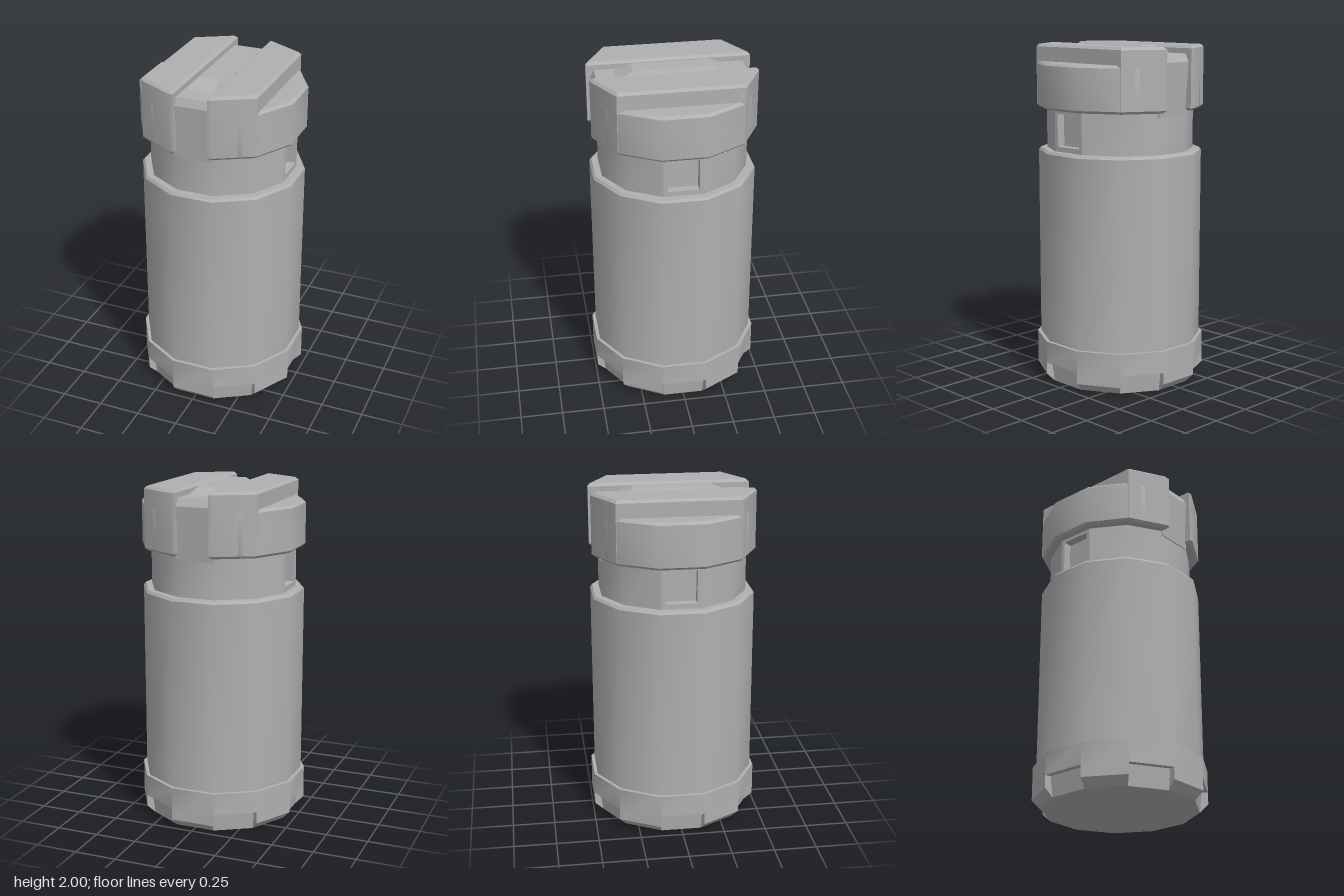
import * as THREE from 'three';
import { toCreasedNormals } from 'three/addons/utils/BufferGeometryUtils.js';

const SIDES = 12, STEP = Math.PI * 2 / SIDES, ZS = 1.02;
const grey = new THREE.MeshStandardMaterial({ color: 0xb0b0b0 });
grey.name = 'grey metal';

// point at angle phi (0 = front), with the slight stretch along z
const polar = (phi, [r, y]) => [r * Math.sin(phi), y, r * Math.cos(phi) * ZS];

function fromTriangles(tris, crease = 0.6) {
  const g = new THREE.BufferGeometry();
  g.setAttribute('position', new THREE.Float32BufferAttribute(tris.flat(2), 3));
  return toCreasedNormals(g, crease);
}

// twelve-sided shell; profileOf(i) lists [radius, y] from bottom to top, or null to leave a side open
function shell(profileOf, extra = []) {
  const tris = [...extra];
  for (let i = 0; i < SIDES; i++) {
    const profile = profileOf(i);
    if (!profile) continue;
    const p0 = (i - 0.5) * STEP, p1 = (i + 0.5) * STEP;
    for (let k = 0; k < profile.length - 1; k++) {
      const lo = profile[k], hi = profile[k + 1];
      const a = polar(p0, lo), b = polar(p1, lo), c = polar(p1, hi), d = polar(p0, hi);
      if (lo[0] > 0) tris.push([a, b, c]);
      if (hi[0] > 0) tris.push([a, c, d]);
      else if (lo[0] > 0) tris[tris.length - 1] = [a, b, c];
      if (lo[0] === 0) tris[tris.length - 1] = [a, c, d];
    }
  }
  return fromTriangles(tris);
}

function shapeOf(points) {
  return new THREE.Shape(points.map(([x, y]) => new THREE.Vector2(x, y)));
}

// bevelled slab from an (x, z) outline, standing between y0 and y1
function slab(points, y0, y1, bevel) {
  const g = new THREE.ExtrudeGeometry(shapeOf(points.map(([x, z]) => [x, -z])), {
    depth: y1 - y0 - 2 * bevel, bevelEnabled: true, bevelSegments: 1,
    bevelThickness: bevel, bevelSize: bevel, bevelOffset: -bevel,
  });
  g.rotateX(-Math.PI / 2).translate(0, y0 + bevel, 0);
  return toCreasedNormals(g, 0.6);
}

export function createModel() {
  const model = new THREE.Group();
  const add = (name, geometry, parent = model) => {
    const mesh = new THREE.Mesh(geometry, grey);
    mesh.name = name;
    parent.add(mesh);
    return mesh;
  };

  // base ring with a recess cut into every second side
  const plain = [[0, 0], [0.45, 0], [0.5, 0.05], [0.5, 0.25], [0.46, 0.25]];
  const cut = [[0, 0], [0.45, 0], [0.465, 0.12], [0.5, 0.12], [0.5, 0.25], [0.46, 0.25]];
  const cheek = [[0.465, 0.12], [0.5, 0.12], [0.5, 0.05], [0.45, 0]];
  const cheeks = [];
  for (let i = 1; i < SIDES; i += 2) {
    const [a, b, c, d] = cheek.map(p => polar((i - 0.5) * STEP, p));
    cheeks.push([a, b, c], [a, c, d]);
    const [e, f, g, h] = cheek.map(p => polar((i + 0.5) * STEP, p));
    cheeks.push([e, g, f], [e, h, g]);
  }
  add('base', shell(i => (i % 2 ? cut : plain), cheeks));

  // main body with a narrow chamfer at the shoulder
  add('body', shell(() => [[0.48, 0.25], [0.48, 1.375], [0.468, 1.39], [0.4, 1.39]]));

  // neck, left open on both flanks for the windows
  add('neck', shell(i => (i === 3 || i === 9 ? null : [[0.43, 1.38], [0.43, 1.66]])));
  const half = 0.43 * Math.sin(STEP / 2) * ZS, flank = 0.43 * Math.cos(STEP / 2);
  for (const side of [1, -1]) {
    const windowGroup = new THREE.Group();
    windowGroup.name = side > 0 ? 'leftWindow' : 'rightWindow';
    const frame = shapeOf([[-half, 1.38], [half, 1.38], [half, 1.66], [-half, 1.66]]);
    frame.holes.push(shapeOf([[-0.09, 1.42], [-0.09, 1.61], [0.09, 1.61], [0.09, 1.42]]));
    const g = new THREE.ExtrudeGeometry(frame, { depth: 0.05, bevelEnabled: false });
    add('windowFrame', g.translate(0, 0, flank - 0.05), windowGroup);
    const back = new THREE.BoxGeometry(2 * half, 0.28, 0.02).translate(0, 1.52, flank - 0.06);
    add('windowBack', back, windowGroup);
    windowGroup.rotation.y = side * Math.PI / 2;
    model.add(windowGroup);
  }

  // core between the cap halves, with chamfered ends
  const profile = [[-0.43, 1.6], [0.43, 1.6], [0.45, 1.91], [0.43, 1.955], [-0.43, 1.955], [-0.455, 1.91]];
  const core = new THREE.ExtrudeGeometry(shapeOf(profile), { depth: 0.23, bevelEnabled: false });
  core.translate(0, 0, -0.115).rotateY(-Math.PI / 2);
  add('capCore', core);

  // tapered ridge on the core
  const ridge = new THREE.BoxGeometry(2, 0.05, 2).toNonIndexed();
  const pos = ridge.attributes.position;
  for (let i = 0; i < pos.count; i++) {
    const top = pos.getY(i) > 0;
    pos.setX(i, pos.getX(i) * (top ? 0.055 : 0.087));
    pos.setZ(i, pos.getZ(i) * (top ? 0.225 : 0.33));
  }
  ridge.translate(0, 1.975, 0).computeVertexNormals();
  add('capRidge', ridge);

  // two stepped cap halves
  for (const s of [1, -1]) {
    const cap = new THREE.Group();
    cap.name = s > 0 ? 'leftCapHalf' : 'rightCapHalf';
    const inner = [[0.1, 0.475], [0.124, 0.475], [0.342, 0.355], [0.342, -0.355], [0.124, -0.475], [0.1, -0.475]];
    const outer = [[0.25, 0.406], [0.34, 0.355], [0.465, 0.131], [0.465, -0.131], [0.34, -0.355], [0.25, -0.406]];
    const mirror = pts => pts.map(([x, z]) => [s * x, z]);
    add('capTop', slab(mirror(inner), 1.63, 2, 0.015), cap);
    add('capStep', slab(mirror(outer), 1.63, 1.9, 0.015), cap);
    model.add(cap);
  }
  return model;
}
